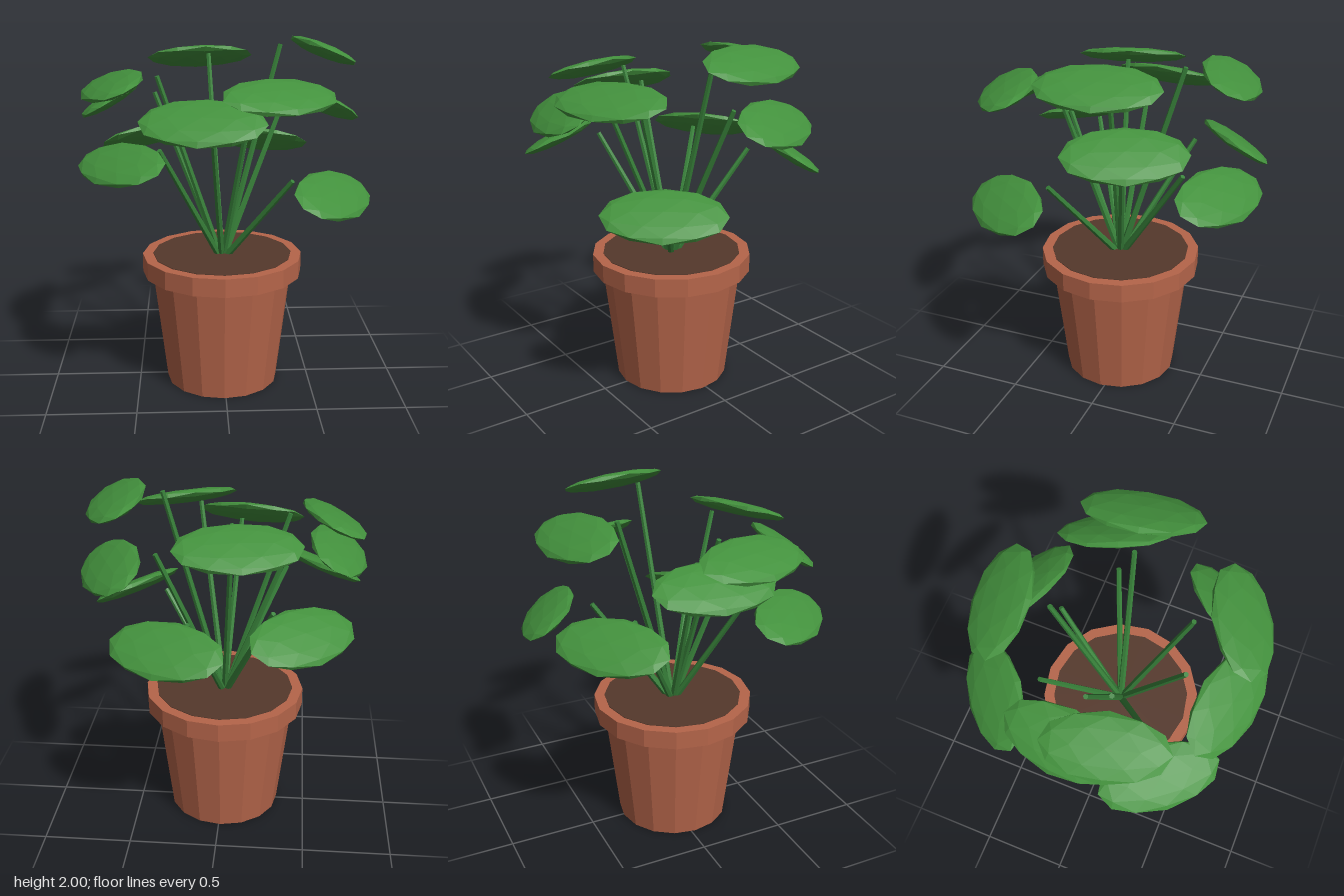
import * as THREE from 'three';

export function createModel() {
  const plant = new THREE.Group();
  plant.name = 'pottedPlant';

  const mat = (name, color) => {
    const m = new THREE.MeshStandardMaterial({ color, flatShading: true });
    m.name = name;
    return m;
  };
  const terracotta = mat('terracotta', 0xb5654a);
  const soilBrown = mat('soilBrown', 0x55382b);
  const leafGreen = mat('leafGreen', 0x43913d);
  const stemGreen = mat('stemGreen', 0x38823a);

  const add = (name, geometry, material, x, y, z) => {
    const mesh = new THREE.Mesh(geometry, material);
    mesh.name = name;
    mesh.position.set(x, y, z);
    plant.add(mesh);
    return mesh;
  };

  // Pot: tapered body, wide rim and a disc of soil
  const cx = -0.01, cz = 0.025;
  add('potBody', new THREE.CylinderGeometry(0.405, 0.325, 0.68, 16), terracotta, cx, 0.34, cz);
  add('potRim', new THREE.CylinderGeometry(0.46, 0.46, 0.105, 16), terracotta, cx, 0.7175, cz);
  add('soil', new THREE.CylinderGeometry(0.4, 0.4, 0.02, 16), soilBrown, cx, 0.763, cz);

  // Leaves: centre x, y, z and outward droop in degrees
  const leaves = [
    [-0.12, 1.84, -0.57, 24],
    [0.24, 1.31, -0.63, 32],
    [-0.45, 1.36, -0.52, 32],
    [0.56, 1.92, -0.085, 24],
    [0.58, 1.60, -0.235, 32],
    [0.56, 1.22, 0.45, 32],
    [0.26, 1.755, 0.57, 22],
    [-0.13, 1.64, 0.645, 32],
    [-0.55, 1.395, 0.45, 26],
    [-0.605, 1.765, 0.18, 22],
    [-0.63, 1.66, -0.04, 29],
  ];
  const leafShape = new THREE.IcosahedronGeometry(1, 1).scale(0.325, 0.038, 0.178);
  const up = new THREE.Vector3(0, 1, 0);
  const base = new THREE.Vector3(cx, 0.72, cz);

  for (const [x, y, z, droop] of leaves) {
    const dx = x - cx, dz = z - cz;
    const leaf = add('leaf', leafShape, leafGreen, x, y, z);
    leaf.rotation.set(THREE.MathUtils.degToRad(droop), Math.atan2(dx, dz), 0, 'YXZ');

    // Straight stem ending just inside the leaf's inner edge
    const k = 1 - 0.248 / Math.hypot(dx, dz);
    const tip = new THREE.Vector3(cx + dx * k, y + 0.04, cz + dz * k);
    const dir = tip.clone().sub(base);
    const mid = base.clone().add(tip).multiplyScalar(0.5);
    const stem = add('stem', new THREE.CylinderGeometry(0.014, 0.02, dir.length(), 6),
      stemGreen, mid.x, mid.y, mid.z);
    stem.quaternion.setFromUnitVectors(up, dir.normalize());
  }

  return plant;
}
